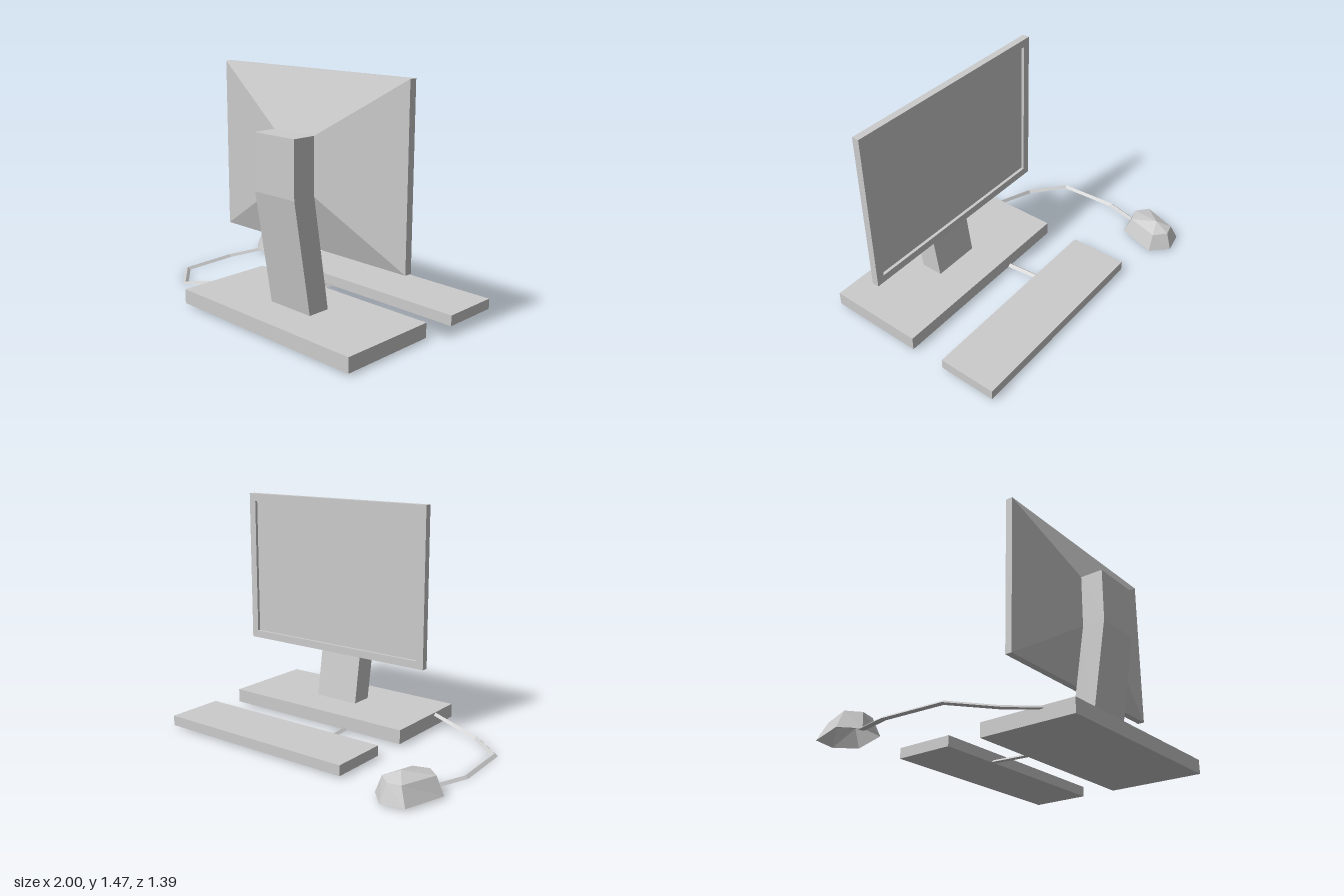
import * as THREE from 'three';

const material = new THREE.MeshStandardMaterial({ color: 0xcccccc, flatShading: true, side: THREE.DoubleSide });

function addMesh(group, name, geometry) {
  const mesh = new THREE.Mesh(geometry, material);
  mesh.name = name;
  group.add(mesh);
  return mesh;
}

// Skin between rings of [x, y, z]; rings run clockwise seen from the far end
function loft(rings, capStart = false, capEnd = false) {
  const n = rings[0].length;
  const last = (rings.length - 1) * n;
  const index = [];
  for (let r = 0; r < rings.length - 1; r++) {
    for (let i = 0; i < n; i++) {
      const a = r * n + i, b = r * n + (i + 1) % n;
      index.push(a, a + n, b + n, a, b + n, b);
    }
  }
  for (let i = 1; i < n - 1; i++) {
    if (capStart) index.push(0, i, i + 1);
    if (capEnd) index.push(last, last + i + 1, last + i);
  }
  const geometry = new THREE.BufferGeometry();
  geometry.setAttribute('position', new THREE.Float32BufferAttribute(rings.flat(2), 3));
  geometry.setIndex(index);
  const flat = geometry.toNonIndexed();
  flat.computeVertexNormals();
  return flat;
}

// Box given by its limits
function boxBetween(x0, x1, y0, y1, z0, z1) {
  return new THREE.BoxGeometry(x1 - x0, y1 - y0, z1 - z0)
    .translate((x0 + x1) / 2, (y0 + y1) / 2, (z0 + z1) / 2);
}

// Three-sided cable with a flat underside, mitred along the path
function cable(path, halfWidth, height) {
  const points = path.map(p => new THREE.Vector3(...p));
  const heading = (a, b) => b.clone().sub(a).setY(0).normalize();
  const rings = points.map((p, i) => {
    const before = heading(points[Math.max(i - 1, 0)], points[Math.max(i, 1)]);
    const end = points.length - 1;
    const after = heading(points[Math.min(i, end - 1)], points[Math.min(i + 1, end)]);
    const dir = before.clone().add(after).normalize();
    const w = halfWidth / dir.dot(after);
    const sx = -dir.z * w, sz = dir.x * w;
    return [[p.x + sx, p.y, p.z + sz], [p.x, p.y + height, p.z], [p.x - sx, p.y, p.z - sz]];
  });
  return loft(rings, true, true);
}

export function createModel() {
  const model = new THREE.Group();
  model.name = 'desktopComputer';

  // Flat slabs
  addMesh(model, 'base', boxBetween(-0.4, 0.96, 0.015, 0.105, 0.065, 0.695));
  addMesh(model, 'keyboard', boxBetween(-0.4, 0.96, 0.015, 0.08, -0.545, -0.167));

  // Bent neck, leaning outwards and then rising straight
  const neckRing = (y, z0, z1) => [[0.122, y, z1], [0.122, y, z0], [0.44, y, z0], [0.44, y, z1]];
  addMesh(model, 'neck', loft([
    neckRing(0.105, 0.31, 0.455),
    neckRing(0.79, 0.42, 0.57),
    neckRing(1.127, 0.42, 0.57),
  ], true, true));

  // Monitor: tapered housing, rim, then the recessed screen
  const rect = (x0, x1, y0, y1, z) => [[x1, y1, z], [x0, y1, z], [x0, y0, z], [x1, y0, z]];
  const rim = (inset, z) => rect(-0.432 + inset, 0.998 - inset, 0.447 + inset, 1.467 - inset, z);
  addMesh(model, 'monitor', loft([
    rect(0.122, 0.44, 0.787, 1.127, 0.42),
    rim(0, 0.308), rim(0, 0.263), rim(0.05, 0.263), rim(0.05, 0.283),
  ], false, true));

  // Mouse: faceted shell, open underneath
  const mouseRing = (outline, y) => outline.map(([x, z]) => [x, y, z]);
  const foot = [[-1, -0.417], [-0.92, -0.672], [-0.778, -0.7], [-0.676, -0.594], [-0.75, -0.345], [-0.9, -0.322]];
  const shoulder = [[-0.952, -0.42], [-0.874, -0.64], [-0.794, -0.658], [-0.717, -0.59], [-0.778, -0.385], [-0.874, -0.356]];
  addMesh(model, 'mouse', loft([
    mouseRing(foot, 0.015),
    mouseRing(shoulder, 0.122),
    mouseRing(foot.map(() => [-0.815, -0.555]), 0.165),
  ]));

  // Cables
  addMesh(model, 'mouseCable', cable([
    [-0.39, 0.09, 0.485], [-0.715, 0, 0.465], [-0.937, 0, 0.282], [-0.957, 0, -0.107], [-0.89, 0.012, -0.345],
  ], 0.018, 0.016));
  addMesh(model, 'keyboardCable', cable([[0, 0.016, -0.18], [0.023, 0.016, 0.075]], 0.018, 0.016));

  return model;
}
